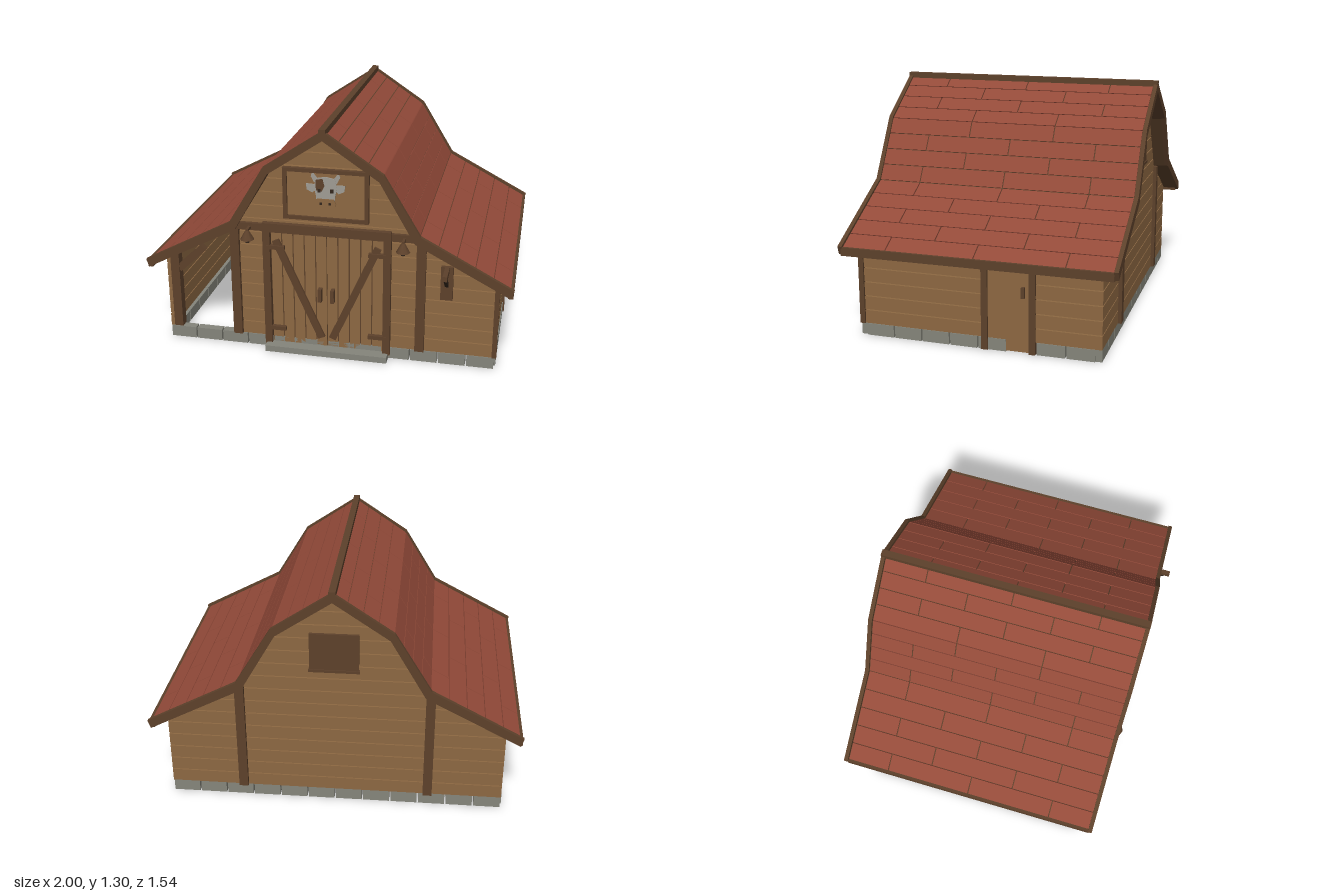
import * as THREE from 'three';

const mat = (name, color, side = THREE.FrontSide) => {
  const m = new THREE.MeshStandardMaterial({ color, side });
  m.name = name;
  return m;
};

export function createModel() {
  const wood = mat('plank wood', 0x8d6842);
  const dark = mat('dark timber', 0x5d412b);
  const red = mat('roof red', 0x934a39);
  const stone = mat('stone grey', 0x85857b);
  const pale = mat('pale hide', 0xa09c94);
  const black = mat('black iron', 0x33261d);

  const root = new THREE.Group();
  root.name = 'barn';
  const group = (name, parent = root) => {
    const g = new THREE.Group();
    g.name = name;
    parent.add(g);
    return g;
  };
  const add = (name, geo, m, parent = root) => {
    const mesh = new THREE.Mesh(geo, m);
    mesh.name = name;
    parent.add(mesh);
    return mesh;
  };
  // Box given by its extents on each axis
  const box = (name, x0, x1, y0, y1, z0, z1, m, parent) => {
    const b = add(name, new THREE.BoxGeometry(Math.abs(x1 - x0), y1 - y0, z1 - z0), m, parent);
    b.position.set((x0 + x1) / 2, (y0 + y1) / 2, (z0 + z1) / 2);
    return b;
  };
  // Flat outline in the xy plane, extruded from z0 to z1
  const plate = (name, pts, z0, z1, m, parent) => {
    const shape = new THREE.Shape(pts.map(p => new THREE.Vector2(p[0], p[1])));
    const g = new THREE.ExtrudeGeometry(shape, { depth: z1 - z0, bevelEnabled: false });
    return add(name, g.translate(0, 0, z0), m, parent);
  };
  // Slanted board between two points in the xy plane
  const bar = (name, a, b, w, z0, z1, m, parent) => {
    const dx = b[0] - a[0], dy = b[1] - a[1];
    const mesh = add(name, new THREE.BoxGeometry(Math.hypot(dx, dy), w, z1 - z0), m, parent);
    mesh.position.set((a[0] + b[0]) / 2, (a[1] + b[1]) / 2, (z0 + z1) / 2);
    mesh.rotation.z = Math.atan2(dy, dx);
    return mesh;
  };

  const F = 0.63, B = -0.68, W = 0.915, BASE = 0.065, PITCH = 0.078, GAP = 0.006;

  // Stone footing
  const footing = group('stoneFooting');
  const run = (a, b, n, put) => {
    const s = (b - a) / n;
    for (let i = 0; i < n; i++) put(a + i * s + 0.004, a + (i + 1) * s - 0.004);
  };
  for (const z of [F - 0.04, B]) run(-W, W, 12, (a, b) => box('footingStone', a, b, 0, BASE, z, z + 0.045, stone, footing));
  for (const s of [-1, 1]) run(B + 0.03, F - 0.03, 8, (a, b) => {
    if (s > 0 && b < -0.04 && a > -0.34) return;
    box('footingStone', s * (W - 0.04), s * (W + 0.005), 0, BASE, a, b, stone, footing);
  });
  box('doorStep', -0.34, 0.34, 0, 0.035, F, 0.7, stone);

  // Gable boards follow the gambrel outline
  const outline = [[W, 0], [W, 0.49], [0.49, 0.722], [0.298, 1.04], [0, 1.243]];
  const halfWidth = y => {
    for (let i = 1; i < outline.length; i++) {
      const [x0, y0] = outline[i - 1], [x1, y1] = outline[i];
      if (y <= y1) return x0 + (x1 - x0) * (y - y0) / (y1 - y0);
    }
    return 0;
  };
  const boardHalf = (s, y0, y1, xMin, xMax, z, parent) => {
    const ys = [y0, ...outline.map(p => p[1]).filter(y => y > y0 && y < y1), y1];
    const edge = ys.map(y => [s * Math.max(xMin, Math.min(xMax, halfWidth(y))), y]);
    plate('gableBoard', [[s * xMin, y0], ...edge, [s * xMin, y1]], z, z + 0.02, wood, parent);
  };
  const front = group('frontWall'), back = group('backWall');
  for (let k = 0; k < 15; k++) {
    const y0 = BASE + k * PITCH, y1 = Math.min(y0 + PITCH - GAP, 1.235);
    for (const s of [-1, 1]) {
      boardHalf(s, y0, y1, 0, W, B, back);
      // The front left bay stays open
      boardHalf(s, y0, y1, k < 8 ? 0.33 : 0, s < 0 ? 0.5 : W, F - 0.02, front);
    }
  }

  // Side walls and inner partitions
  const sides = group('sideWalls'), inner = group('partitions');
  for (let k = 0; k < 8; k++) {
    const y0 = BASE + k * PITCH, y1 = y0 + PITCH - GAP;
    for (const s of [-1, 1]) {
      box('partitionBoard', s * 0.49, s * 0.51, k ? y0 : 0, y1, B + 0.02, F - 0.02, wood, inner);
      if (k > 5) continue;
      const top = Math.min(y1, 0.49), spans = s > 0 ? [[B, -0.32], [-0.06, F]] : [[B, F]];
      for (const [a, b] of spans) box('sideBoard', s * (W - 0.02), s * W, y0, top, a, b, wood, sides);
    }
  }

  // Roof deck, gable trim and shingles
  const lower = (pts, d, e = 0) => pts.map(([x, y]) => [x - e, y - d]);
  const band = (name, outer, innerPts, z0, z1, m, parent) => {
    const mir = p => p.map(([x, y]) => [-x, y]);
    const arch = p => [...p, ...mir(p.slice(0, -1)).reverse()];
    plate(name, [...arch(outer), ...arch(innerPts).reverse()], z0, z1, m, parent);
  };
  const roof = group('roof');
  const profile = [[0.99, 0.495], [0.507, 0.752], [0.313, 1.073], [0, 1.283]];
  band('roofDeck', lower(profile, 0.01), lower(profile, 0.036), -0.75, 0.7, dark, roof);
  const trimOut = [[1, 0.505], [0.512, 0.762], [0.317, 1.083], [0, 1.294]];
  const trimIn = [[0.985, 0.46], [0.482, 0.722], [0.295, 1.045], [0, 1.243]];
  band('frontGableTrim', trimOut, trimIn, 0.692, 0.715, dark, roof);
  band('backGableTrim', trimOut, trimIn, -0.77, -0.748, dark, roof);
  box('ridgeCap', -0.018, 0.018, 1.262, 1.302, -0.77, 0.715, dark, roof);
  for (const turn of [0, Math.PI]) {
    const half = group('roofSide', roof);
    half.position.z = -0.025;
    half.rotation.y = turn;
    box('eaveBoard', 0.968, 0.996, 0.455, 0.5, -0.725, 0.725, dark, half);
    [5, 4, 4].forEach((rows, i) => {
      const [ax, ay] = profile[i + 1], [bx, by] = profile[i];
      const slope = group('roofSlope', half);
      slope.position.set(ax, ay, 0);
      slope.rotation.z = Math.atan2(by - ay, bx - ax);
      const step = Math.hypot(bx - ax, by - ay) / rows;
      for (let r = 0; r < rows; r++) {
        const cuts = (r + i) % 2 ? [-0.722, -0.24, 0.24, 0.722] : [-0.722, -0.48, 0, 0.48, 0.722];
        for (let c = 1; c < cuts.length; c++)
          box('shingle', r * step, (r + 1) * step - 0.005, -0.012, 0, cuts[c - 1] + 0.003, cuts[c] - 0.003, red, slope);
      }
    });
  }

  // Posts and beams
  const frame = group('timberFrame');
  for (const s of [-1, 1]) {
    box('frontPost', s * 0.485, s * 0.535, BASE, 0.71, F - 0.03, 0.65, dark, frame);
    box('backPost', s * 0.485, s * 0.535, BASE, 0.71, B - 0.02, B + 0.01, dark, frame);
    box('frontBeam', s * 0.35, s * 0.515, 0.7, 0.74, F - 0.01, 0.65, dark, frame);
    box('doorPost', s * 0.31, s * 0.35, 0.025, 0.74, F - 0.03, 0.655, dark, frame);
  }
  box('doorLintel', -0.35, 0.35, 0.7, 0.75, F - 0.03, 0.66, dark, frame);
  box('bayPost', -0.895, -0.845, BASE, 0.52, F - 0.05, F, dark, frame);
  bar('bayBrace', [-0.85, 0.42], [-0.7, 0.56], 0.04, F - 0.04, F - 0.005, dark, frame);
  box('cornerPost', 0.9, 0.925, BASE, 0.49, F - 0.02, F + 0.008, dark, frame);

  // Double barn door
  const doors = group('barnDoors');
  for (const s of [-1, 1]) {
    for (let i = 0; i < 5; i++)
      box('doorBoard', s * (i * 0.062 + 0.002), s * (i * 0.062 + 0.058), 0.036, 0.7, F - 0.02, F + 0.005, wood, doors);
    box('doorBacking', s * 0.001, s * 0.31, 0.04, 0.7, F - 0.012, F - 0.004, dark, doors);
    bar('doorBrace', [s * 0.28, 0.65], [s * 0.03, 0.09], 0.04, F + 0.004, F + 0.02, dark, doors);
    box('doorHandle', s * 0.025, s * 0.045, 0.315, 0.39, F + 0.004, 0.67, dark, doors);
    for (const y of [0.115, 0.6]) box('hinge', s * 0.23, s * 0.33, y, y + 0.022, F + 0.004, 0.658, dark, doors);
  }

  // Lamps under the front beam
  for (const s of [-1, 1]) {
    const lamp = group('lamp');
    lamp.position.set(s * 0.42, 0.69, 0.695);
    add('lampShade', new THREE.CylinderGeometry(0.01, 0.038, 0.05, 8), dark, lamp);
    add('lampBulb', new THREE.CylinderGeometry(0.012, 0.012, 0.025, 6), black, lamp).position.y = -0.03;
    box('lampArm', -0.007, 0.007, 0.02, 0.034, -0.05, 0.005, dark, lamp);
  }

  // Wall bracket with arm and strut
  const bracket = group('wallBracket');
  box('bracketPlate', 0.615, 0.68, 0.39, 0.58, F, 0.65, dark, bracket);
  box('bracketArm', 0.636, 0.66, 0.552, 0.58, 0.64, 0.77, dark, bracket);
  const strut = box('bracketStrut', 0.639, 0.657, 0.505, 0.523, 0.635, 0.755, black, bracket);
  strut.rotation.x = -0.7;

  // Side door on the right-hand wall
  const sideDoor = group('sideDoor');
  box('sideDoorPanel', 0.89, 0.917, 0.005, 0.48, -0.31, -0.07, wood, sideDoor);
  for (const z of [-0.335, -0.08]) box('sideDoorJamb', 0.885, 0.928, 0, 0.48, z, z + 0.034, dark, sideDoor);
  box('sideDoorHandle', 0.915, 0.936, 0.3, 0.357, -0.28, -0.262, dark, sideDoor);

  // Shuttered window on the other side
  const win = group('sideWindow');
  box('windowPanel', -0.922, -0.913, 0.22, 0.45, 0.03, 0.3, wood, win);
  for (const z of [0.01, 0.28]) box('windowStile', -0.937, -0.91, 0.2, 0.47, z, z + 0.035, dark, win);
  for (const y of [0.2, 0.435]) box('windowRail', -0.937, -0.91, y, y + 0.035, 0.01, 0.315, dark, win);

  // Back loft hatch
  const hatch = group('backHatch');
  box('hatchPanel', -0.13, 0.13, 0.82, 1.03, B - 0.015, B, dark, hatch);
  box('hatchSill', -0.135, 0.135, 0.81, 0.825, B - 0.02, B, dark, hatch);

  // Loft sign panel with a cow's head
  const loft = group('loftPanel');
  box('loftBoard', -0.22, 0.22, 0.8, 1.06, F, 0.642, wood, loft);
  for (const s of [-1, 1]) box('loftStile', s * 0.208, s * 0.23, 0.785, 1.07, F, 0.655, dark, loft);
  for (const y of [0.785, 1.05]) box('loftRail', -0.23, 0.23, y, y + 0.02, F, 0.655, dark, loft);
  const cow = group('cowHead', loft);
  const z = 0.642;
  plate('cowFace', [[-0.045, 0.865], [0.045, 0.865], [0.052, 0.93], [0.062, 0.97], [0.05, 1.02],
    [0, 1.03], [-0.05, 1.02], [-0.062, 0.97], [-0.052, 0.93]], z, z + 0.008, pale, cow);
  for (const s of [-1, 1]) {
    plate('cowEar', [[s * 0.05, 0.985], [s * 0.105, 0.988], [s * 0.1, 0.955], [s * 0.07, 0.94], [s * 0.055, 0.955]], z, z + 0.006, pale, cow);
    plate('cowHorn', [[s * 0.04, 1.015], [s * 0.07, 1.055], [s * 0.078, 1.03], [s * 0.06, 0.995]], z, z + 0.006, pale, cow);
    box('cowEye', s * 0.026, s * 0.042, 0.945, 0.965, z, z + 0.013, black, cow);
  }
  plate('cowPatch', [[-0.052, 1.012], [-0.015, 1.02], [-0.005, 0.98], [-0.02, 0.95], [-0.05, 0.955]], z, z + 0.011, dark, cow);
  plate('cowMuzzle', [[-0.045, 0.855], [0.045, 0.855], [0.056, 0.88], [0.045, 0.91], [-0.045, 0.91], [-0.056, 0.88]], z, z + 0.012, wood, cow);
  for (const s of [-1, 1]) box('cowNostril', s * 0.018, s * 0.03, 0.878, 0.89, z, z + 0.015, black, cow);

  return root;
}
